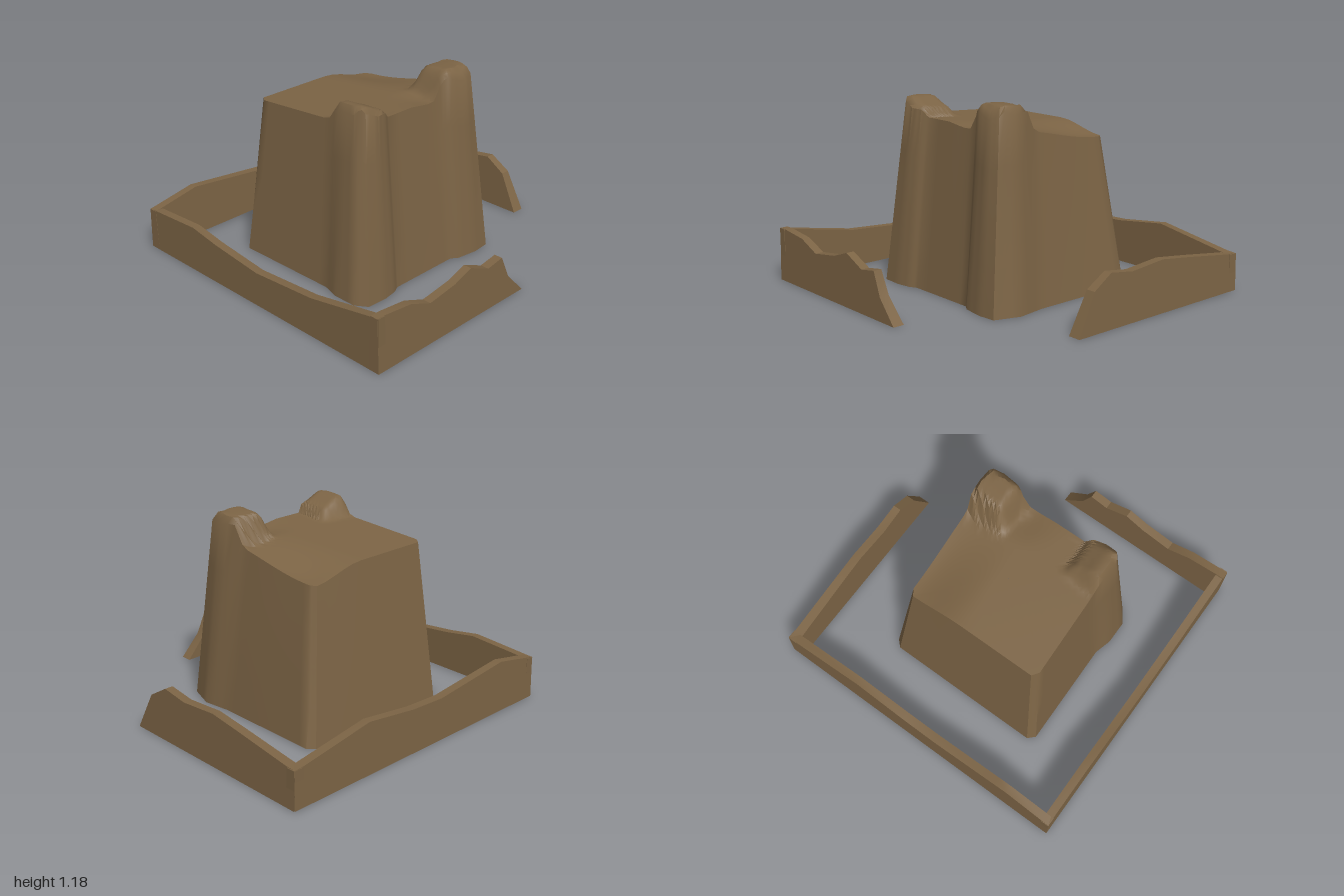
import * as THREE from 'three';
import { toCreasedNormals } from 'three/addons/utils/BufferGeometryUtils.js';

const mudBrick = new THREE.MeshStandardMaterial({ color: 0x7c6445, side: THREE.DoubleSide });
mudBrick.name = 'mudBrick';

const { smoothstep, lerp } = THREE.MathUtils;

// Tower outline: base x, base z, rim x, rim z
const OUTLINE = [
  [-0.56, -0.57, -0.49, -0.46], [-0.6, -0.53, -0.52, -0.42],
  [-0.59, 0.15, -0.505, 0.12], [-0.62, 0.26, -0.515, 0.24],
  [-0.62, 0.41, -0.515, 0.32], [-0.57, 0.485, -0.48, 0.375],
  [-0.44, 0.49, -0.4, 0.39], [-0.35, 0.475, -0.33, 0.375],
  [-0.3, 0.45, -0.28, 0.35], [0, 0.45, 0, 0.35],
  [0.17, 0.45, 0.15, 0.35], [0.21, 0.48, 0.22, 0.38],
  [0.35, 0.5, 0.32, 0.4], [0.46, 0.49, 0.385, 0.38],
  [0.515, 0.33, 0.405, 0.28], [0.49, 0.15, 0.38, 0.12],
  [0.49, -0.53, 0.365, -0.42], [0.45, -0.57, 0.34, -0.46],
];

// Roof height: gentle fall to the back and right, with a worn turret over each front corner
function roofHeight(x, z) {
  const back = (0.35 - z) / 0.81;
  let y = 1.04 - 0.05 * back - 0.07 * smoothstep(x, 0, 0.36) * smoothstep(back, 0.1, 0.9);
  y -= 0.02 * smoothstep(x, -0.1, 0.06) * (1 - smoothstep(x, 0.08, 0.16)) * smoothstep(z, 0.1, 0.3);
  const depth = smoothstep(z, 0.1, 0.19) * (1 - 0.6 * smoothstep(z, 0.34, 0.41));
  const right = smoothstep(x, 0.1, 0.21) * (1 - 0.4 * smoothstep(x, 0.375, 0.41));
  const left = smoothstep(-x, 0.28, 0.34) * (1 - 0.4 * smoothstep(-x, 0.49, 0.52));
  return y + depth * (0.145 * right + left * (0.065 + 0.05 * smoothstep(-x, 0.33, 0.47)));
}

// Closed outline with each side divided into short steps
function denseOutline(steps) {
  const out = [];
  OUTLINE.forEach((a, i) => {
    const b = OUTLINE[(i + 1) % OUTLINE.length];
    const long = Math.hypot(b[0] - a[0], b[1] - a[1]) > 0.4;
    const n = long ? steps * 4 : steps;
    for (let k = 0; k < n; k++) out.push(a.map((v, j) => lerp(v, b[j], k / n)));
  });
  return out;
}

// Loft of tapering walls followed by roof rings shrinking to the middle; open below
function towerGeometry() {
  const ring = denseOutline(3), n = ring.length;
  const wallRows = 4, roofRows = 18, centre = [-0.06, -0.08];
  const positions = [], index = [];
  for (let r = 0; r <= wallRows; r++) {
    const t = r / wallRows;
    for (const [bx, bz, tx, tz] of ring)
      positions.push(lerp(bx, tx, t), t * roofHeight(tx, tz), lerp(bz, tz, t));
  }
  for (let r = 1; r <= roofRows; r++) {
    const t = r === roofRows ? 0.999 : r / roofRows;
    for (const [, , tx, tz] of ring) {
      const x = lerp(tx, centre[0], t), z = lerp(tz, centre[1], t);
      positions.push(x, roofHeight(x, z), z);
    }
  }
  for (let r = 0; r < wallRows + roofRows; r++)
    for (let i = 0; i < n; i++) {
      const a = r * n + i, b = r * n + ((i + 1) % n);
      index.push(a, b, b + n, a, b + n, a + n);
    }
  const geometry = new THREE.BufferGeometry();
  geometry.setAttribute('position', new THREE.Float32BufferAttribute(positions, 3));
  geometry.setIndex(index);
  return toCreasedNormals(geometry, 0.75);
}

// Low wall from a broken top line [along, height]; near and far are its faces across, lean narrows the top
function lowWall(name, top, near, far, lean, alongZ) {
  const line = top.map(([s, y]) => new THREE.Vector2(alongZ ? -s : s, y));
  const first = line[0], last = line[line.length - 1];
  const points = [...line];
  if (last.y > 0) points.push(new THREE.Vector2(last.x, 0));
  if (first.y > 0) points.push(new THREE.Vector2(first.x, 0));
  const geometry = new THREE.ExtrudeGeometry(new THREE.Shape(points), { depth: far - near, bevelEnabled: false });
  const p = geometry.attributes.position;
  for (let i = 0; i < p.count; i++) {
    const shift = lean * p.getY(i) / 0.32;
    p.setZ(i, p.getZ(i) > 0.001 ? far - shift : near + shift);
  }
  if (alongZ) geometry.rotateY(Math.PI / 2);
  const mesh = new THREE.Mesh(toCreasedNormals(geometry, 0.5), mudBrick);
  mesh.name = name;
  return mesh;
}

export function createModel() {
  const model = new THREE.Group();
  model.name = 'ruinedTower';

  const tower = new THREE.Mesh(towerGeometry(), mudBrick);
  tower.name = 'tower';
  model.add(tower);

  // Crumbled enclosure, open at the front corner
  model.add(
    lowWall('frontWall', [[-1, 0.33], [-0.94, 0.33], [-0.75, 0.31], [-0.6, 0.25], [-0.4, 0.28],
      [-0.27, 0.325], [-0.12, 0.26], [0, 0.28], [0.06, 0.14], [0.19, 0]], 0.91, 0.98, 0.01, false),
    lowWall('backWall', [[-1, 0.26], [-0.69, 0.32], [-0.6, 0.31], [-0.15, 0.26], [0.09, 0.27],
      [0.44, 0.315], [0.93, 0.235], [0.995, 0.23]], -0.98, -0.91, 0.01, false),
    lowWall('rightSideWall', [[-0.975, 0.23], [-0.9, 0.235], [-0.55, 0.285], [-0.32, 0.315],
      [-0.07, 0.295], [0.1, 0.32], [0.23, 0.24], [0.35, 0]], 0.92, 1, 0.014, true),
    lowWall('leftSideWall', [[-0.975, 0.26], [-0.55, 0.285], [-0.34, 0.25], [0.02, 0.21],
      [0.47, 0.24], [0.9, 0.32], [0.975, 0.33]], -1, -0.945, 0.003, true),
  );
  return model;
}
